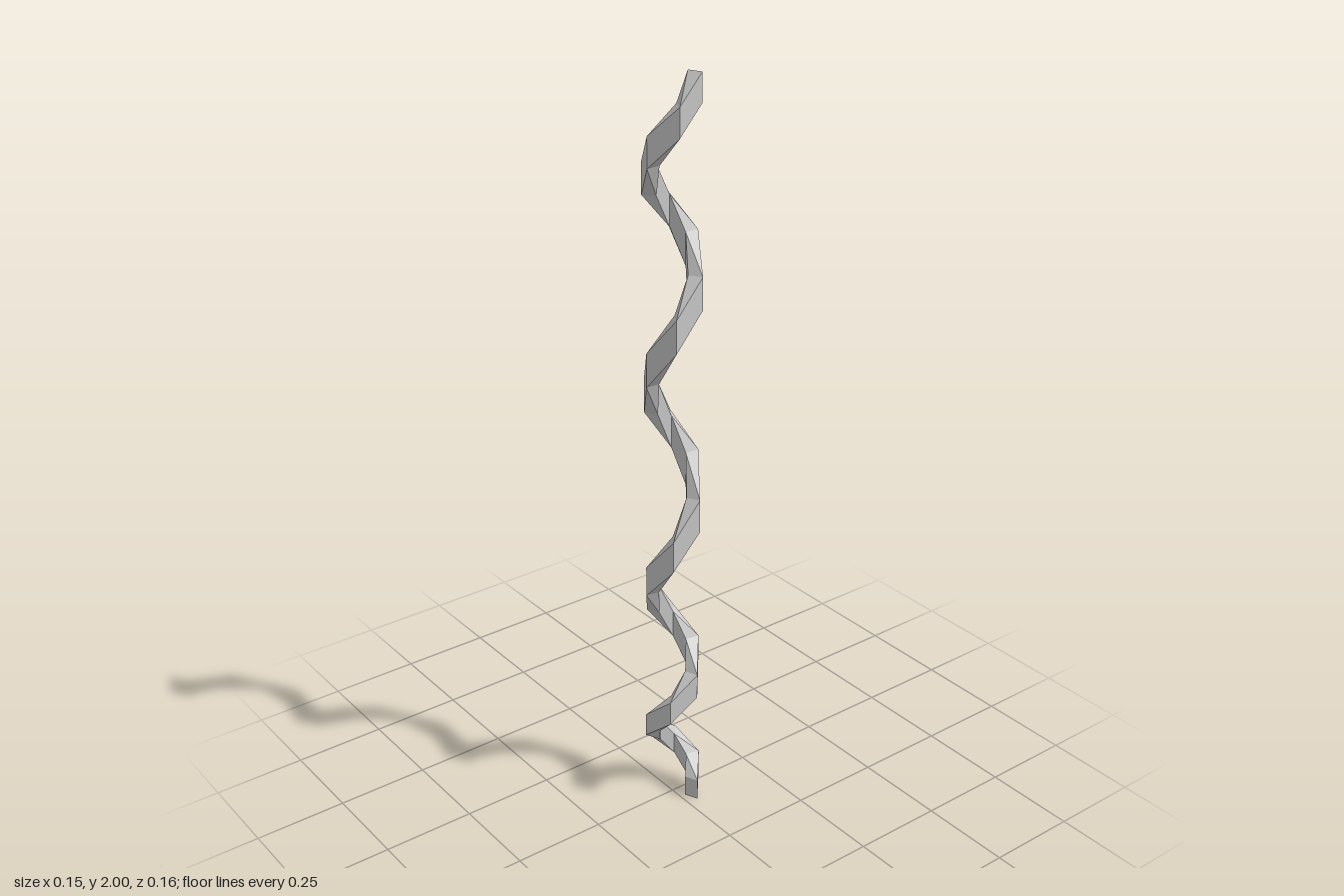
import * as THREE from 'three';

// Faceted coil: a square bar wound about y in steps of about 60 degrees
const OUTER = 0.078, INNER = 0.04, BAR = 0.046, STEP_RUN = 0.06;

// Height of the bar's centre at each bend; the pitch opens out upwards
const HEIGHTS = [
  0.031, 0.081, 0.13, 0.185, 0.24, 0.305, 0.368, 0.441, 0.512, 0.597, 0.685, 0.775, 0.872,
  0.978, 1.073, 1.175, 1.275, 1.373, 1.466, 1.56, 1.65, 1.733, 1.817, 1.892, 1.964,
];
const LAST = HEIGHTS.length - 1;

function bendAngle(k) {
  if (k === 0) return -23;
  if (k === LAST) return -22 - 1440;
  return -75 - 60.9 * (k - 1);
}

// Four corners of the bar at bend k: outer low, outer high, inner high, inner low
function section(k) {
  const a = THREE.MathUtils.degToRad(bendAngle(k));
  const lo = Math.max(k - 1, 0), hi = Math.min(k + 1, LAST);
  const rise = (HEIGHTS[hi] - HEIGHTS[lo]) / (hi - lo);
  const half = (BAR * Math.hypot(1, rise / STEP_RUN)) / 2;
  const at = (r, dy) => [
    r * Math.cos(a),
    THREE.MathUtils.clamp(HEIGHTS[k] + dy, 0, 2),
    r * Math.sin(a),
  ];
  return [at(OUTER, -half), at(OUTER, half), at(INNER, half), at(INNER, -half)];
}

function coilGeometry() {
  const pos = [];
  const quad = (a, b, c, d) => pos.push(...a, ...b, ...c, ...a, ...c, ...d);
  const rings = HEIGHTS.map((_, k) => section(k));
  // Four side faces between neighbouring sections
  for (let k = 0; k < LAST; k++) {
    const p = rings[k], q = rings[k + 1];
    for (let i = 0; i < 4; i++) {
      const j = (i + 1) % 4;
      quad(p[i], q[i], q[j], p[j]);
    }
  }
  // End caps
  const [a, b, c, d] = rings[0];
  quad(a, b, c, d);
  const [e, f, g, h] = rings[LAST];
  quad(h, g, f, e);

  const geo = new THREE.BufferGeometry();
  geo.setAttribute('position', new THREE.Float32BufferAttribute(pos, 3));
  geo.computeVertexNormals();
  return geo;
}

export function createModel() {
  const group = new THREE.Group();
  group.name = 'spiral';
  const material = new THREE.MeshStandardMaterial({ color: 0xcccccc, flatShading: true });
  const coil = new THREE.Mesh(coilGeometry(), material);
  coil.name = 'coil';
  group.add(coil);
  return group;
}
